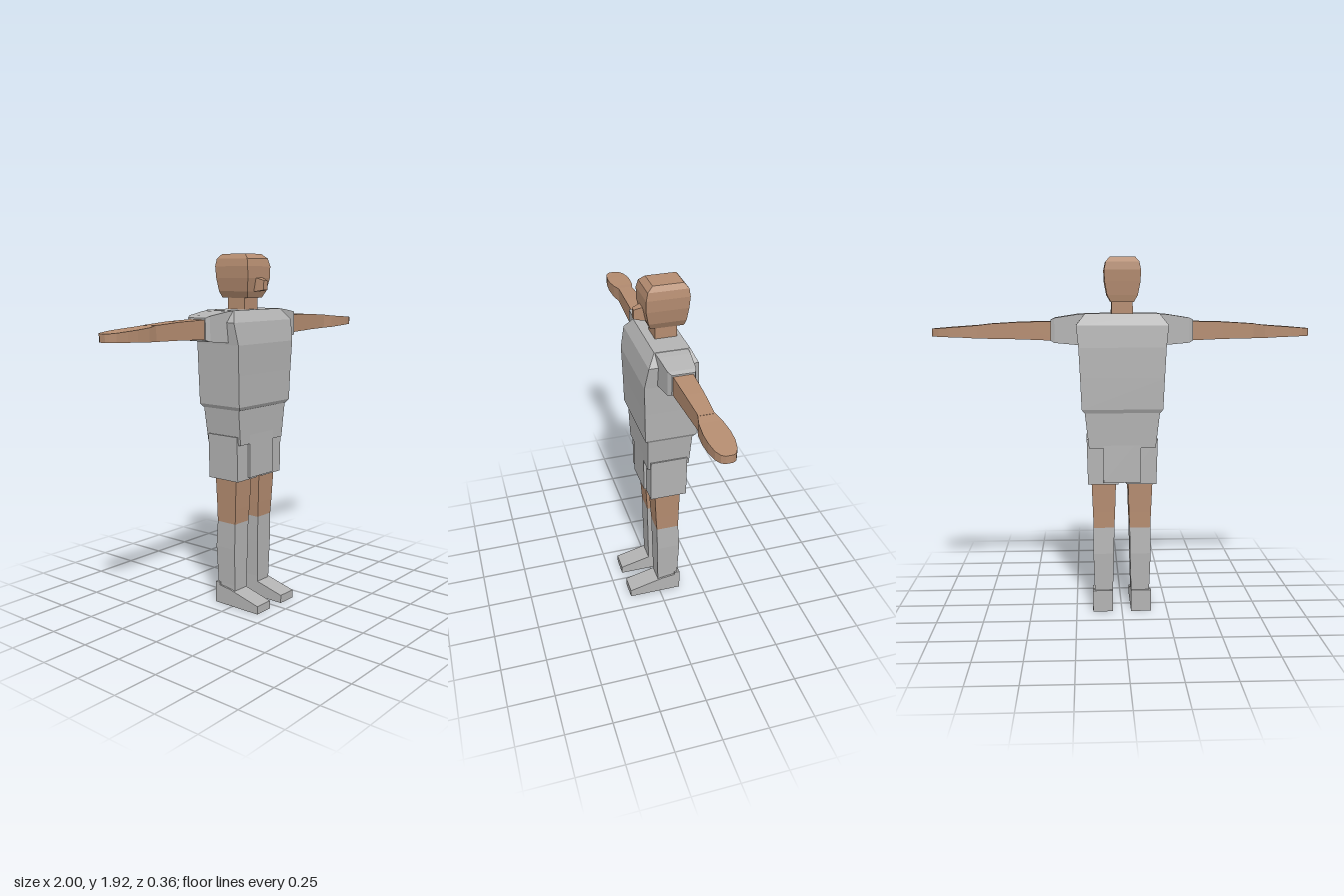
import * as THREE from 'three';

const skin = new THREE.MeshStandardMaterial({ color: 0xb48c70 });
skin.name = 'skin';
const cloth = new THREE.MeshStandardMaterial({ color: 0xb3b3b3 });
cloth.name = 'grey cloth';

// Places a point of a rectangular section (u, v) at t along the given axis
const place = {
  y: (t, u, v) => [u, t, v], // u = x, v = z
  x: (t, u, v) => [t, v, u], // u = z, v = y
  z: (t, u, v) => [v, u, t], // u = y, v = x
};

// Faceted body through rectangular sections [t, u0, u1, v0, v1], t rising
function loft(axis, sections) {
  const put = place[axis];
  const rings = sections.map(([t, u0, u1, v0, v1]) =>
    [put(t, u0, v1), put(t, u1, v1), put(t, u1, v0), put(t, u0, v0)]);
  const pos = [];
  const quad = (a, b, c, d) => pos.push(...a, ...b, ...c, ...a, ...c, ...d);
  for (let i = 0; i < rings.length - 1; i++) {
    for (let k = 0; k < 4; k++) {
      const n = (k + 1) % 4;
      quad(rings[i][k], rings[i][n], rings[i + 1][n], rings[i + 1][k]);
    }
  }
  quad(...rings[0].slice().reverse());
  quad(...rings[rings.length - 1]);
  const g = new THREE.BufferGeometry();
  g.setAttribute('position', new THREE.Float32BufferAttribute(pos, 3));
  g.computeVertexNormals();
  return g;
}

// Mirrors sections written for the +x side
const mirrorX = (s, side) => side > 0 ? s : s.map(([t, ...r]) => [-t, ...r]).reverse();
const mirrorU = (s, side) => side > 0 ? s : s.map(([t, a, b, ...r]) => [t, -b, -a, ...r]);
const centred = (s) => s.map(([t, w, ...r]) => [t, -w, w, ...r]);

export function createModel() {
  const model = new THREE.Group();
  model.name = 'figure';
  const add = (name, geometry, material) => {
    const mesh = new THREE.Mesh(geometry, material);
    mesh.name = name;
    model.add(mesh);
    return mesh;
  };

  // Head, nose and neck
  add('head', loft('y', centred([
    [1.695, 0.06, -0.145, 0.03], [1.73, 0.08, -0.152, 0.045],
    [1.80, 0.093, -0.16, 0.06], [1.86, 0.095, -0.165, 0.06],
    [1.90, 0.087, -0.16, 0.05], [1.925, 0.066, -0.14, 0.02],
  ])), skin);
  add('nose', loft('z', [
    [0.03, 1.73, 1.805, -0.027, 0.027], [0.062, 1.73, 1.80, -0.026, 0.026],
    [0.103, 1.737, 1.787, -0.015, 0.015],
  ]), skin);
  add('neck', loft('y', centred([
    [1.60, 0.057, -0.11, 0.005], [1.72, 0.055, -0.11, 0.005],
  ])), skin);

  // Shirt
  add('shirt', loft('y', centred([
    [1.115, 0.2, -0.165, 0.09], [1.135, 0.215, -0.175, 0.102],
    [1.30, 0.222, -0.176, 0.105], [1.46, 0.23, -0.175, 0.11],
    [1.575, 0.242, -0.165, 0.09], [1.635, 0.195, -0.135, 0.05],
  ])), cloth);

  // Shorts
  add('shortsWaist', loft('y', centred([
    [0.925, 0.178, -0.15, 0.079], [1.125, 0.2, -0.16, 0.085],
  ])), cloth);
  add('shortsCentre', loft('y', centred([
    [0.737, 0.1, -0.154, 0.079], [0.98, 0.1, -0.15, 0.0805],
  ])), cloth);

  // Shoe outline, seen from the side
  const outline = new THREE.Shape([
    [-0.12, 0], [0.18, 0], [0.18, 0.045], [-0.015, 0.095], [-0.09, 0.105], [-0.09, 0.12], [-0.12, 0.12],
  ].map(([z, y]) => new THREE.Vector2(z, y)));
  const shoe = new THREE.ExtrudeGeometry(outline, { depth: 0.11, bevelEnabled: false });
  shoe.translate(0, 0, -0.055).rotateY(-Math.PI / 2);

  for (const side of [1, -1]) {
    const label = side > 0 ? 'left' : 'right';

    // Sleeve, arm and hand
    add(label + 'Sleeve', loft('x', mirrorX([
      [0.17, -0.125, 0.05, 1.47, 1.635], [0.24, -0.122, 0.042, 1.472, 1.63],
      [0.355, -0.112, 0.03, 1.482, 1.612], [0.375, -0.102, 0.015, 1.492, 1.602],
    ], side)), cloth);
    add(label + 'Arm', loft('x', mirrorX([
      [0.36, -0.092, 0.01, 1.493, 1.594], [0.54, -0.088, 0.005, 1.5, 1.59],
      [0.71, -0.08, -0.002, 1.503, 1.58],
    ], side)), skin);
    add(label + 'Hand', loft('x', mirrorX([
      [0.70, -0.08, -0.002, 1.503, 1.58], [0.76, -0.097, 0.013, 1.505, 1.573],
      [0.84, -0.105, 0.02, 1.51, 1.567], [0.90, -0.104, 0.018, 1.512, 1.563],
      [0.96, -0.092, 0.008, 1.514, 1.558], [0.99, -0.077, -0.008, 1.515, 1.556],
      [1.0, -0.06, -0.025, 1.515, 1.555],
    ], side)), skin);

    // Shorts leg, bare leg and sock
    add(label + 'ShortsLeg', loft('y', mirrorU([
      [0.725, 0.02, 0.184, -0.138, 0.064], [0.97, 0.02, 0.19, -0.138, 0.064],
    ], side)), cloth);
    add(label + 'Leg', loft('y', mirrorU([
      [0.475, 0.042, 0.155, -0.106, 0.02], [0.56, 0.038, 0.158, -0.106, 0.026],
      [0.76, 0.032, 0.166, -0.11, 0.036],
    ], side)), skin);
    add(label + 'Sock', loft('y', mirrorU([
      [0.03, 0.05, 0.15, -0.106, 0.01], [0.12, 0.05, 0.15, -0.107, 0.012],
      [0.33, 0.044, 0.157, -0.115, 0.017], [0.475, 0.042, 0.155, -0.106, 0.02],
    ], side)), cloth);

    // Shoe
    add(label + 'Shoe', shoe, cloth).position.x = side * 0.105;
  }

  // Centre the depth on z = 0
  model.updateMatrixWorld(true);
  const box = new THREE.Box3().setFromObject(model);
  model.position.z = -(box.min.z + box.max.z) / 2;
  return model;
}
